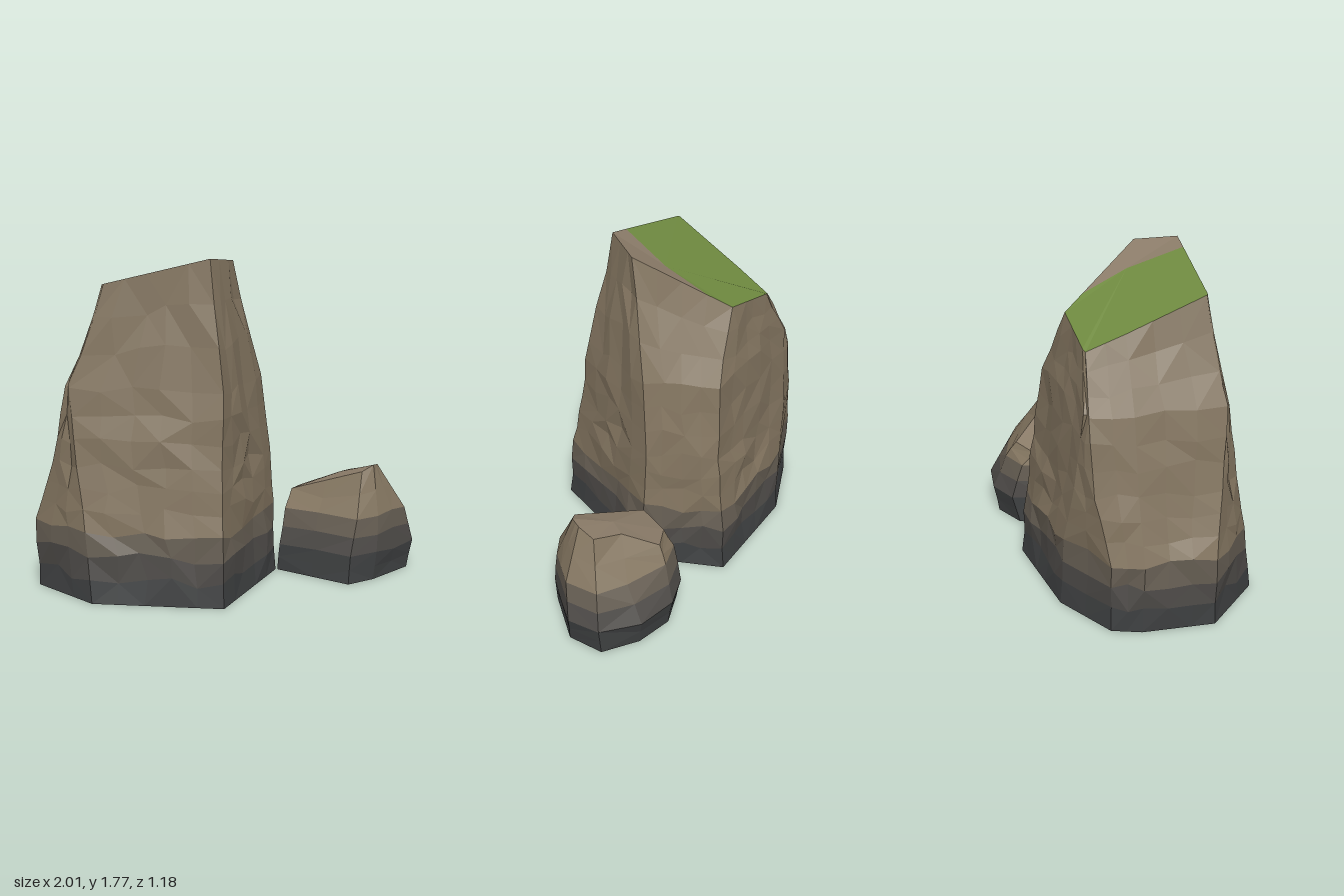
import * as THREE from 'three';

const COLORS = {
  foot: 0x3f4142, lowerBand: 0x504d4a, middleBand: 0x675f54, body: 0x82745f, crown: 0x8a7b68, moss: 0x6f8a40,
};

function seeded(seed) {
  let s = seed;
  return () => ((s = (s * 16807) % 2147483647) / 2147483647) * 2 - 1;
}

// Corner outlines, counterclockwise from above: [x, z] at each height, top ring [x, z, y]
const TALL = {
  heights: [0, 0.37, 0.7, 1.1],
  rings: [
    [[0.04, 0.58], [0.25, -0.12], [0.02, -0.53], [-0.6, -0.44], [-0.94, -0.25], [-0.99, -0.1], [-0.99, 0.28], [-0.65, 0.57]],
    [[0.03, 0.55], [0.23, -0.14], [0.01, -0.5], [-0.62, -0.42], [-0.95, -0.25], [-1, -0.09], [-1, 0.28], [-0.69, 0.52]],
    [[0.02, 0.485], [0.21, -0.14], [0, -0.46], [-0.7, -0.38], [-0.85, -0.31], [-0.91, -0.1], [-0.89, 0.33], [-0.74, 0.45]],
    [[0.02, 0.42], [0.16, -0.08], [-0.06, -0.41], [-0.73, -0.335], [-0.77, -0.32], [-0.81, -0.1], [-0.8, 0.37], [-0.78, 0.385]],
    [[-0.06, 0.31, 1.77], [0.035, 0.1, 1.74], [-0.26, -0.33, 1.47], [-0.59, -0.31, 1.39], [-0.61, -0.3, 1.38],
      [-0.62, -0.1, 1.46], [-0.62, 0.31, 1.63], [-0.61, 0.315, 1.635]],
  ],
  splits: [5, 4, 5, 2, 2, 3, 3, 5],
  rows: 3, rough: 0.016, seed: 71, center: [-0.14, 0.02, 1.64], mossLimit: -0.22,
};

const SMALL = {
  heights: [0, 0.15, 0.35],
  rings: [
    [[0.66, 0.11], [0.79, 0], [0.97, -0.25], [0.95, -0.45], [0.76, -0.55], [0.55, -0.57], [0.37, -0.48], [0.26, -0.12]],
    [[0.67, 0.1], [0.81, 0], [1, -0.27], [0.97, -0.45], [0.78, -0.58], [0.55, -0.6], [0.38, -0.52], [0.27, -0.11]],
    [[0.7, 0.05], [0.81, -0.03], [0.95, -0.22], [0.92, -0.4], [0.76, -0.47], [0.52, -0.53], [0.37, -0.46], [0.3, -0.14]],
    [[0.72, -0.08, 0.58], [0.78, -0.12, 0.61], [0.8, -0.18, 0.6], [0.8, -0.28, 0.57], [0.64, -0.33, 0.53],
      [0.5, -0.47, 0.44], [0.37, -0.39, 0.42], [0.33, -0.22, 0.44]],
  ],
  splits: [1, 2, 1, 1, 1, 1, 2, 2],
  rows: 2, rough: 0.007, seed: 23, center: [0.6, -0.24, 0.54], mossLimit: -9,
};

function createRock(name, spec) {
  const random = seeded(spec.seed);
  const [cx, cz, cy] = spec.center;
  const corners = spec.rings.map((ring, i) => ring.map(([x, z, y]) => new THREE.Vector3(x, y ?? spec.heights[i], z)));

  // Rows of points between the corner outlines, roughened in and out
  const grid = [];
  const total = (corners.length - 1) * spec.rows;
  for (let r = 0; r <= total; r++) {
    const level = Math.min(Math.floor(r / spec.rows), corners.length - 2);
    const t = r / spec.rows - level;
    const ring = corners[level].map((p, i) => p.clone().lerp(corners[level + 1][i], t));
    const inner = r > 0 && r < total;
    const stratum = inner ? random() * spec.rough * 0.35 : 0;
    const row = [];
    ring.forEach((p, i) => {
      for (let k = 0; k < spec.splits[i]; k++) {
        const q = p.clone().lerp(ring[(i + 1) % ring.length], k / spec.splits[i]);
        if (inner) {
          const out = new THREE.Vector3(q.x - cx, 0, q.z - cz).normalize();
          const amount = (k ? 1 : 0.4) * spec.rough;
          q.addScaledVector(out, stratum + random() * amount);
          q.y += random() * amount * 1.8;
          if (k) q.lerp(ring[(i + 1) % ring.length], random() * 0.06);
        }
        row.push(q);
      }
    });
    grid.push(row);
  }

  // Triangles collected by part
  const parts = {};
  const add = (part, ...points) => points.forEach((p) => (parts[part] ??= []).push(p.x, p.y, p.z));
  const count = grid[0].length;
  for (let r = 0; r < total; r++) {
    const y = (grid[r][0].y + grid[r + 1][0].y) / 2;
    const part = y < 0.12 ? 'foot' : y < 0.23 ? 'lowerBand' : y < 0.36 ? 'middleBand' : 'body';
    for (let i = 0; i < count; i++) {
      const j = (i + 1) % count;
      const a = grid[r][i], b = grid[r][j], c = grid[r + 1][j], d = grid[r + 1][i];
      if (random() > 0) { add(part, a, b, c); add(part, a, c, d); }
      else { add(part, a, b, d); add(part, b, c, d); }
    }
  }

  // Sloping crown, mossy on one side, and flat underside
  const crownCenter = new THREE.Vector3(cx, cy, cz);
  const floorCenter = new THREE.Vector3(cx, 0, cz);
  for (let i = 0; i < count; i++) {
    const j = (i + 1) % count;
    const a = grid[total][i], b = grid[total][j];
    add((a.x + b.x) / 2 < spec.mossLimit ? 'moss' : 'crown', a, b, crownCenter);
    add('foot', grid[0][j], grid[0][i], floorCenter);
  }

  const group = new THREE.Group();
  group.name = name;
  for (const [part, positions] of Object.entries(parts)) {
    const geometry = new THREE.BufferGeometry();
    geometry.setAttribute('position', new THREE.Float32BufferAttribute(positions, 3));
    geometry.computeVertexNormals();
    const mesh = new THREE.Mesh(geometry, new THREE.MeshStandardMaterial({ color: COLORS[part], flatShading: true }));
    mesh.name = part;
    group.add(mesh);
  }
  return group;
}

export function createModel() {
  const model = new THREE.Group();
  model.name = 'rocks';
  model.add(createRock('tallRock', TALL), createRock('smallRock', SMALL));
  return model;
}
